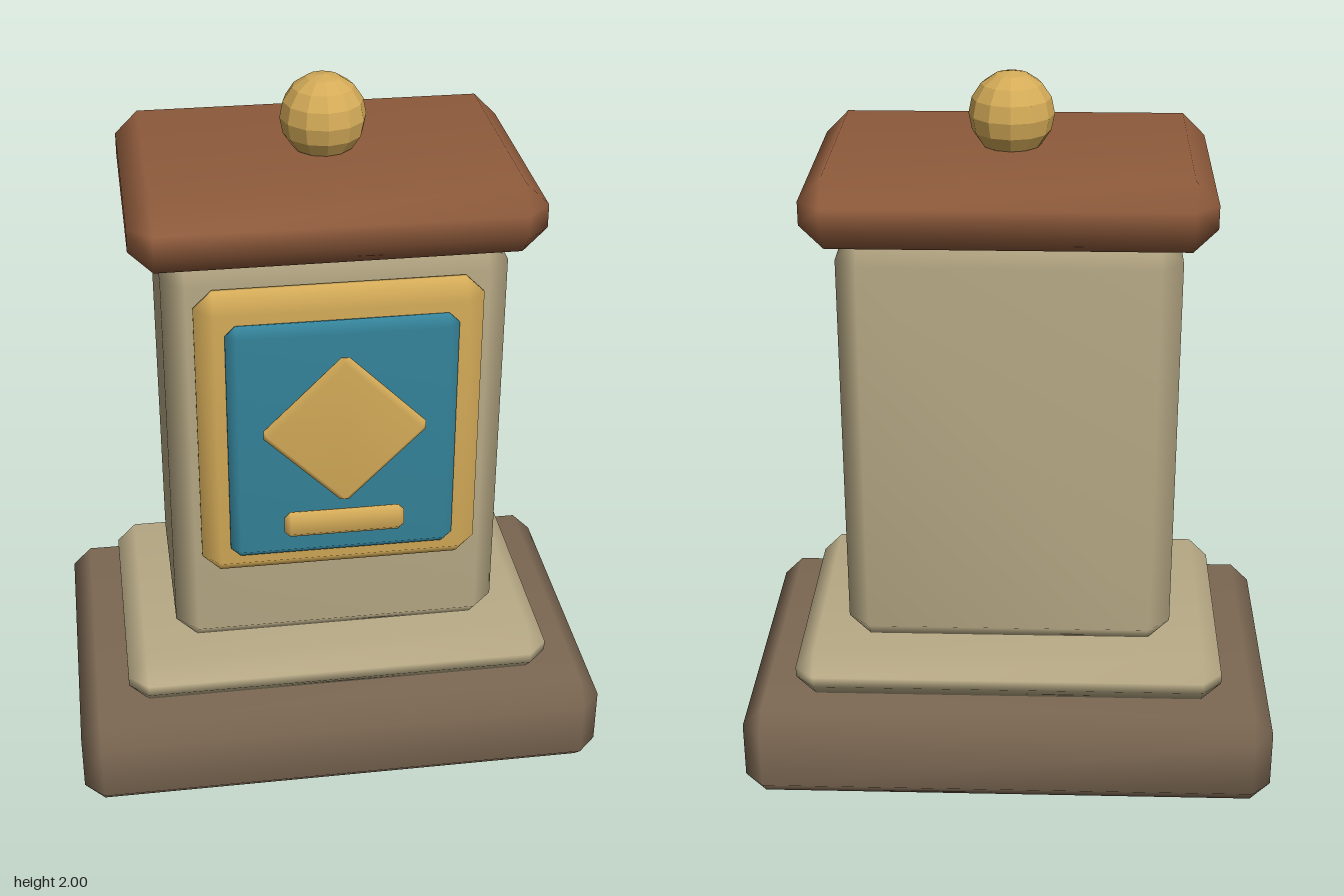
import * as THREE from 'three';
import { mergeVertices } from 'three/addons/utils/BufferGeometryUtils.js';
import { ConvexGeometry } from 'three/addons/geometries/ConvexGeometry.js';

// Box with one 45 degree bevel on every edge and smooth, area-weighted normals.
function bevelBox(w, h, d, c) {
  const points = [];
  for (const x of [-w / 2, w / 2])
    for (const y of [-h / 2, h / 2])
      for (const z of [-d / 2, d / 2]) {
        const a = Math.sign(x) * c, b = Math.sign(y) * c, e = Math.sign(z) * c;
        points.push(
          new THREE.Vector3(x, y - b, z - e),
          new THREE.Vector3(x - a, y, z - e),
          new THREE.Vector3(x - a, y - b, z)
        );
      }
  let geometry = new ConvexGeometry(points);
  geometry.deleteAttribute('normal');
  geometry = mergeVertices(geometry, 1e-4);
  geometry.computeVertexNormals();
  return geometry;
}

function material(name, color) {
  const m = new THREE.MeshStandardMaterial({ color });
  m.name = name;
  return m;
}

export function createModel() {
  const group = new THREE.Group();
  const darkStone = material('dark stone', 0x7c6853);
  const paleStone = material('pale stone', 0xb8aa86);
  const wood = material('red brown', 0x8f5b3c);
  const gold = material('gold', 0xd4ab58);
  const teal = material('teal', 0x34839a);

  function add(name, geometry, mat, y, z = 0) {
    const mesh = new THREE.Mesh(geometry, mat);
    mesh.name = name;
    mesh.position.set(0, y, z);
    group.add(mesh);
    return mesh;
  }

  // Stacked pedestal
  add('base', bevelBox(1.5, 0.275, 0.98, 0.055), darkStone, 0.1375);
  add('plinth', bevelBox(1.21, 0.14, 0.8, 0.055), paleStone, 0.345);
  add('body', bevelBox(0.915, 1.2, 0.6, 0.06), paleStone, 1.013);
  add('cap', bevelBox(1.075, 0.19, 0.76, 0.063), wood, 1.706);

  // Faceted finial
  const ball = add('finial', new THREE.SphereGeometry(0.115, 12, 8), gold, 1.885);
  ball.geometry = ball.geometry.toNonIndexed();
  ball.geometry.computeVertexNormals();

  // Front panel with its ornaments
  add('panelFrame', bevelBox(0.76, 0.86, 0.108, 0.049), gold, 1.12, 0.314);
  add('panel', bevelBox(0.61, 0.705, 0.06, 0.027), teal, 1.122, 0.373);
  const diamond = add('diamond', bevelBox(0.32, 0.32, 0.036, 0.016), gold, 1.175, 0.421);
  diamond.rotation.z = Math.PI / 4;
  add('bar', bevelBox(0.325, 0.077, 0.036, 0.016), gold, 0.89, 0.421);

  return group;
}
